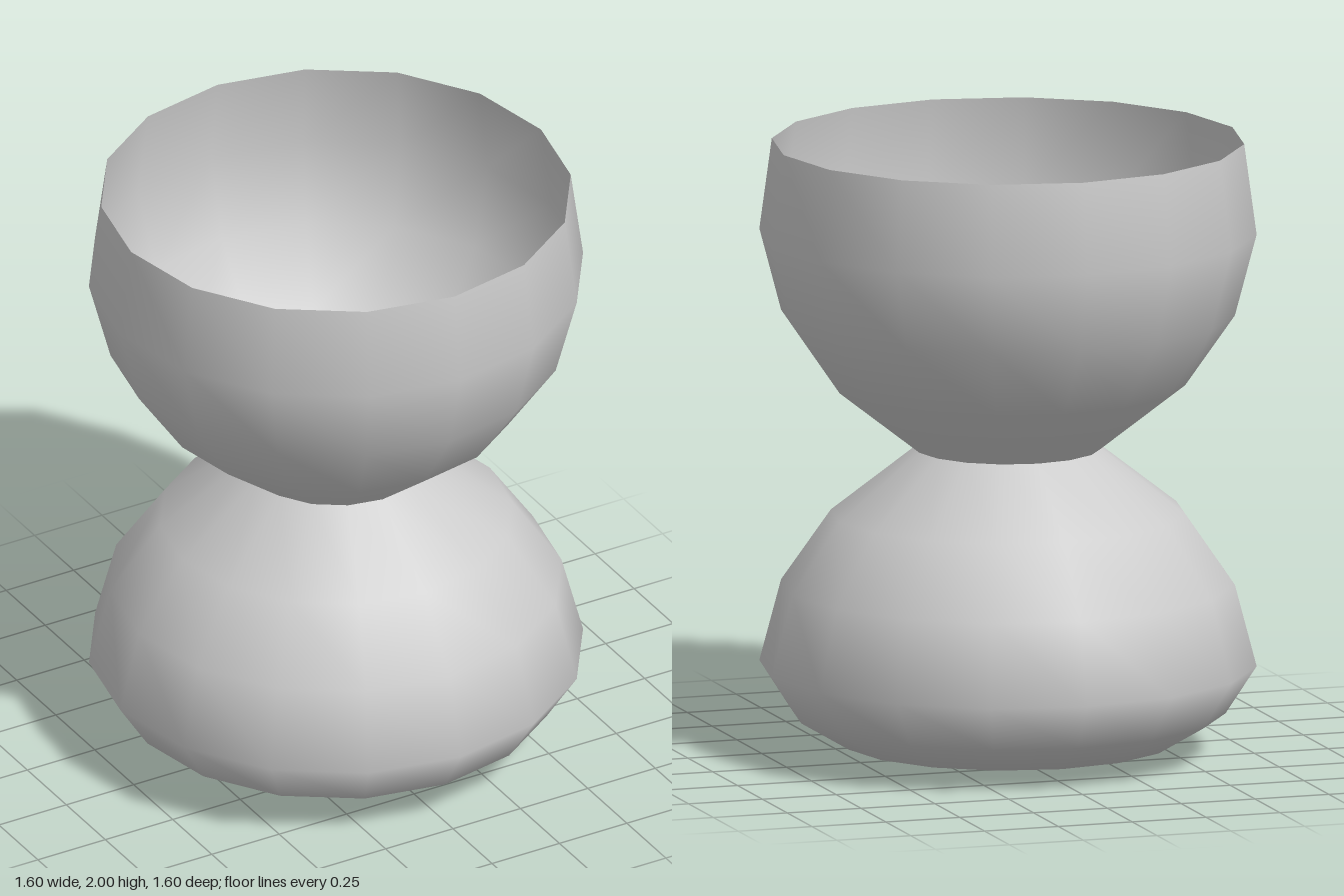
import * as THREE from 'three';

const SIDES = 16;

export function createModel() {
  const group = new THREE.Group();
  const material = new THREE.MeshStandardMaterial({ color: 0xcccccc, side: THREE.DoubleSide });

  // Thin turned shell; profile runs from bottom to top as [radius, height]
  const addShell = (name, profile) => {
    const points = profile.map(([r, y]) => new THREE.Vector2(r, y));
    const mesh = new THREE.Mesh(new THREE.LatheGeometry(points, SIDES), material);
    mesh.name = name;
    group.add(mesh);
  };

  // Flank shared by both bulbs: [radius, distance from the neck]
  const flank = [[0.3, 0], [0.57, 0.21], [0.73, 0.44], [0.8, 0.705]];

  // Closed, rounded base bulb, open at the neck
  addShell('lowerBulb', [
    [0, 0], [0.29, 0.01], [0.54, 0.045], [0.7, 0.14],
    ...flank.map(([r, d]) => [r, 1 - d]).reverse(),
  ]);

  // Open bowl with a slightly narrowed rim
  addShell('upperBowl', [...flank.map(([r, d]) => [r, 1 + d]), [0.76, 2]]);

  return group;
}
